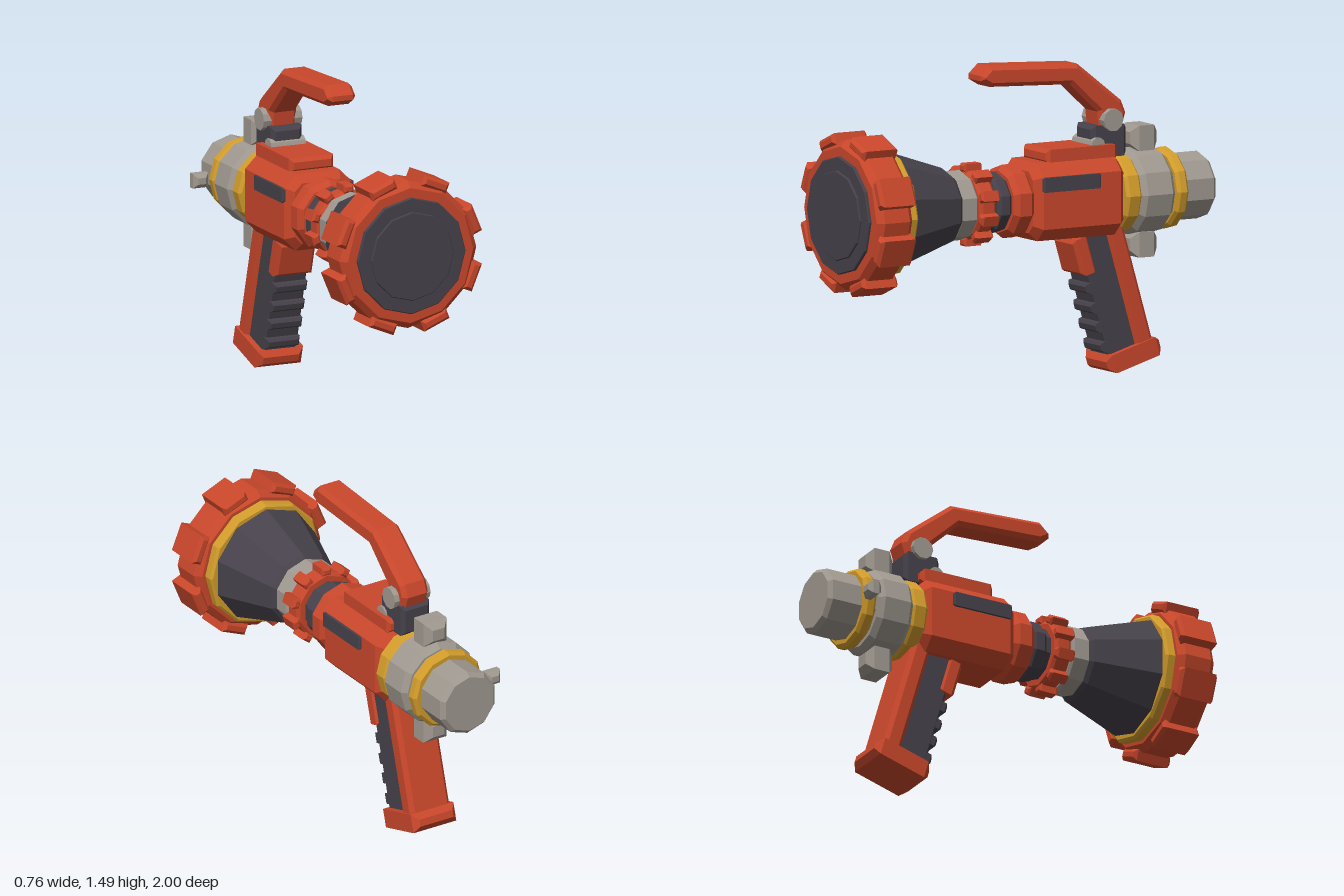
import * as THREE from 'three';

const AXIS = 0.845; // height of the barrel axis

export function createModel() {
  const model = new THREE.Group();
  model.name = 'hoseNozzle';

  const colour = (name, hex) => {
    const m = new THREE.MeshStandardMaterial({ color: hex });
    m.name = name;
    return m;
  };
  const red = colour('red', 0xc9472b);
  const dark = colour('charcoal', 0x46414a);
  const grey = colour('warmGrey', 0xa09990);
  const gold = colour('gold', 0xd39d2c);

  // Adds a faceted mesh to a parent
  const add = (name, geo, mat, x = 0, y = 0, z = 0, parent = model) => {
    const flat = geo.index ? geo.toNonIndexed() : geo;
    flat.computeVertexNormals();
    const mesh = new THREE.Mesh(flat, mat);
    mesh.name = name;
    mesh.position.set(x, y, z);
    parent.add(mesh);
    return mesh;
  };

  // Solid turned about the barrel axis from [radius, z] points, back to front
  const turned = (name, mat, points, sides) => {
    const geo = new THREE.LatheGeometry(points.map(p => new THREE.Vector2(p[0], p[1])), sides);
    geo.rotateX(Math.PI / 2);
    return add(name, geo, mat, 0, AXIS, 0);
  };
  const ring = (name, mat, z0, z1, r, b, sides) => turned(name, mat,
    [[0, z0], [r - b, z0], [r, z0 + b], [r, z1 - b], [r - b, z1], [0, z1]], sides);

  // Extruded outline with chamfered edges, centred along its depth
  const prism = (points, depth, b) => {
    const geo = new THREE.ExtrudeGeometry(new THREE.Shape(points.map(p => new THREE.Vector2(p[0], p[1]))), {
      depth: depth - 2 * b, bevelEnabled: true, bevelThickness: b, bevelSize: b, bevelOffset: -b, bevelSegments: 1,
    });
    return geo.translate(0, 0, b - depth / 2);
  };
  const block = (w, h, d, b) =>
    prism([[-w / 2, -h / 2], [w / 2, -h / 2], [w / 2, h / 2], [-w / 2, h / 2]], d, b);

  // Lugs spaced evenly around the barrel axis
  const lugs = (name, mat, count, offset, radius, z, size, b) => {
    for (let i = 0; i < count; i++) {
      const a = offset + i * Math.PI * 2 / count;
      const lug = add(name, block(...size, b), mat,
        Math.cos(a) * radius, AXIS + Math.sin(a) * radius, z);
      lug.rotation.z = a;
    }
  };

  // Front head
  ring('frontLens', dark, 0.9, 0.99, 0.28, 0.004, 12);
  ring('frontLensCentre', dark, 0.98, 1.0, 0.214, 0.004, 12);
  ring('headRing', red, 0.78, 0.975, 0.355, 0.03, 12);
  lugs('headLug', red, 8, Math.PI / 8, 0.353, 0.876, [0.055, 0.14, 0.195], 0.015);
  ring('headTrim', gold, 0.73, 0.79, 0.31, 0.012, 12);
  turned('cone', dark, [[0, 0.4], [0.165, 0.4], [0.183, 0.42], [0.285, 0.725], [0.285, 0.74], [0, 0.74]], 10);

  // Neck
  ring('neckCore', dark, -0.1, 0.42, 0.125, 0.005, 10);
  ring('neckCollar', grey, 0.31, 0.41, 0.166, 0.012, 10);
  ring('adjusterRing', red, 0.215, 0.305, 0.17, 0.015, 10);
  lugs('adjusterLug', red, 10, Math.PI / 10, 0.175, 0.26, [0.04, 0.05, 0.1], 0.01);
  ring('neckSeal', dark, 0.11, 0.19, 0.145, 0.018, 10);
  ring('neckFlange', red, 0, 0.112, 0.174, 0.025, 10);

  // Body with top plate and side inserts
  const bw = 0.174, bh = 0.184, c = 0.06;
  add('body', prism([[bw - c, -bh], [bw, c - bh], [bw, bh - c], [bw - c, bh],
    [c - bw, bh], [-bw, bh - c], [-bw, c - bh], [c - bw, -bh]], 0.5, 0.038), red, 0, AXIS, -0.247);
  add('topPlate', block(0.23, 0.07, 0.39, 0.018), red, 0, 1.053, -0.285);
  for (const s of [-1, 1]) {
    add('sideInsert', block(0.03, 0.07, 0.315, 0.008), dark, s * 0.172, 0.933, -0.187);
  }

  // Rear coupling
  ring('rearTrim', gold, -0.57, -0.485, 0.193, 0.015, 12);
  ring('couplingHub', grey, -0.75, -0.565, 0.206, 0.025, 12);
  ring('inletTrim', gold, -0.825, -0.762, 0.194, 0.015, 12);
  ring('inletPipe', grey, -1, -0.7, 0.16, 0.02, 10);
  for (const s of [-1, 1]) {
    add('couplingNub', block(0.13, 0.12, 0.145, 0.032), grey, 0, AXIS + s * 0.252, -0.665);
  }
  add('inletPin', block(0.08, 0.07, 0.07, 0.02), grey, -0.24, AXIS, -0.82);

  // Bail handle and its pivot
  add('handleBracket', block(0.16, 0.15, 0.19, 0.018), dark, 0, 1.1, -0.455);
  const pin = (name, r, length, y, z) => {
    const geo = new THREE.CylinderGeometry(r, r, length, 10).rotateZ(Math.PI / 2);
    add(name, geo, grey, 0, y, z);
  };
  pin('pivotPin', 0.054, 0.2, 1.2, -0.463);
  pin('stopPin', 0.038, 0.18, 1.085, -0.385);
  const bail = prism([[0.19, 1.4], [0.24, 1.43], [0.24, 1.455], [0.19, 1.5], [-0.29, 1.475], [-0.53, 1.285],
    [-0.555, 1.225], [-0.53, 1.15], [-0.41, 1.15], [-0.40, 1.24], [-0.25, 1.38]], 0.145, 0.02);
  add('bailHandle', bail.rotateY(-Math.PI / 2), red);

  // Pistol grip, built upright and then tilted
  const grip = new THREE.Group();
  grip.name = 'grip';
  grip.position.set(0, 0.04, -0.59);
  grip.rotation.x = 0.285;
  model.add(grip);
  const gripPart = (name, mat, w, u0, u1, f0, f1, b) =>
    add(name, block(w, u1 - u0, f1 - f0, b), mat, 0, (u0 + u1) / 2, (f0 + f1) / 2, grip);
  gripPart('gripBase', red, 0.24, 0, 0.09, -0.148, 0.152, 0.028);
  gripPart('gripSpine', red, 0.22, 0.05, 0.68, -0.115, -0.02, 0.02);
  gripPart('gripPanel', dark, 0.18, 0.05, 0.67, -0.05, 0.125, 0.012);
  gripPart('gripGuard', red, 0.2, 0.495, 0.675, 0.078, 0.162, 0.018);
  for (const u of [0.13, 0.23, 0.325, 0.425]) {
    gripPart('gripRidge', dark, 0.175, u - 0.025, u + 0.025, 0.105, 0.152, 0.012);
  }

  return model;
}
